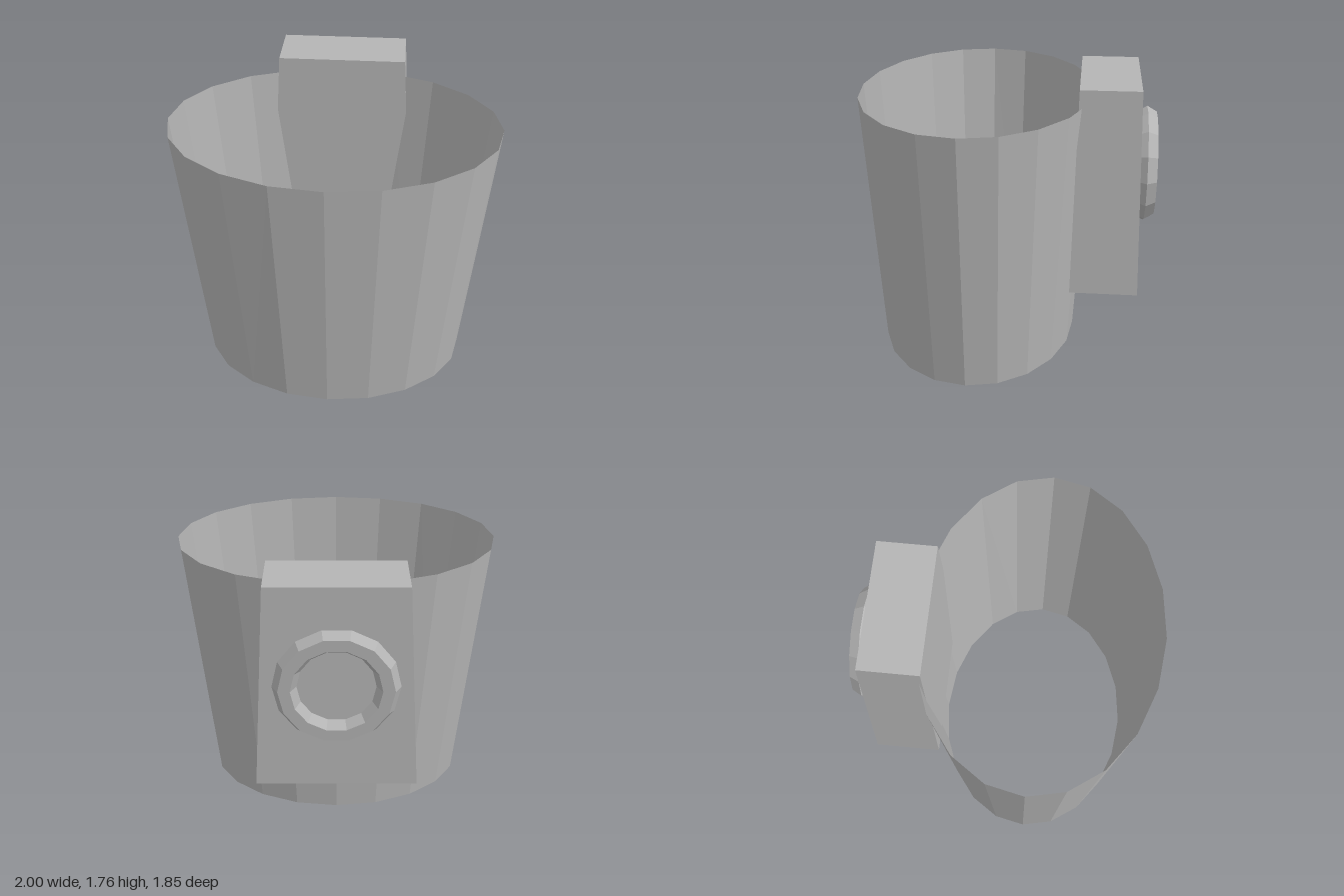
import * as THREE from 'three';

export function createModel() {
  const model = new THREE.Group();
  model.name = 'ovalBucketWithBackBox';
  const grey = new THREE.MeshStandardMaterial({
    color: 0xb4b4b4, flatShading: true, side: THREE.DoubleSide,
  });
  grey.name = 'plain grey';

  const add = (name, geometry, x, y, z) => {
    const mesh = new THREE.Mesh(geometry, grey);
    mesh.name = name;
    mesh.position.set(x, y, z);
    model.add(mesh);
    return mesh;
  };

  // Tapered oval wall, open at both ends; the oval changes as it rises
  const height = 1.65;
  const wall = new THREE.CylinderGeometry(1, 1, height, 20, 1, true);
  const wp = wall.attributes.position;
  for (let i = 0; i < wp.count; i++) {
    const top = wp.getY(i) > 0;
    wp.setX(i, wp.getX(i) * (top ? 1 : 0.84));
    wp.setZ(i, wp.getZ(i) * (top ? 0.73 : 0.63));
  }
  wall.computeVertexNormals();
  add('bucketWall', wall, 0, height / 2, 0.195);

  // Box on the back, slightly wider and deeper at its base
  const boxHeight = 1.28;
  const box = new THREE.BoxGeometry(2, boxHeight, 2);
  const bp = box.attributes.position;
  for (let i = 0; i < bp.count; i++) {
    const top = bp.getY(i) > 0;
    bp.setX(i, bp.getX(i) * (top ? 0.405 : 0.48));
    bp.setZ(i, bp.getZ(i) * (top ? 0.182 : 0.21));
  }
  box.computeVertexNormals();
  add('backBox', box, 0, 0.48 + boxHeight / 2, -0.628);

  // Faceted ring on the box
  add('backRing', new THREE.TorusGeometry(0.295, 0.07, 6, 14), 0, 1.175, -0.866);

  return model;
}
